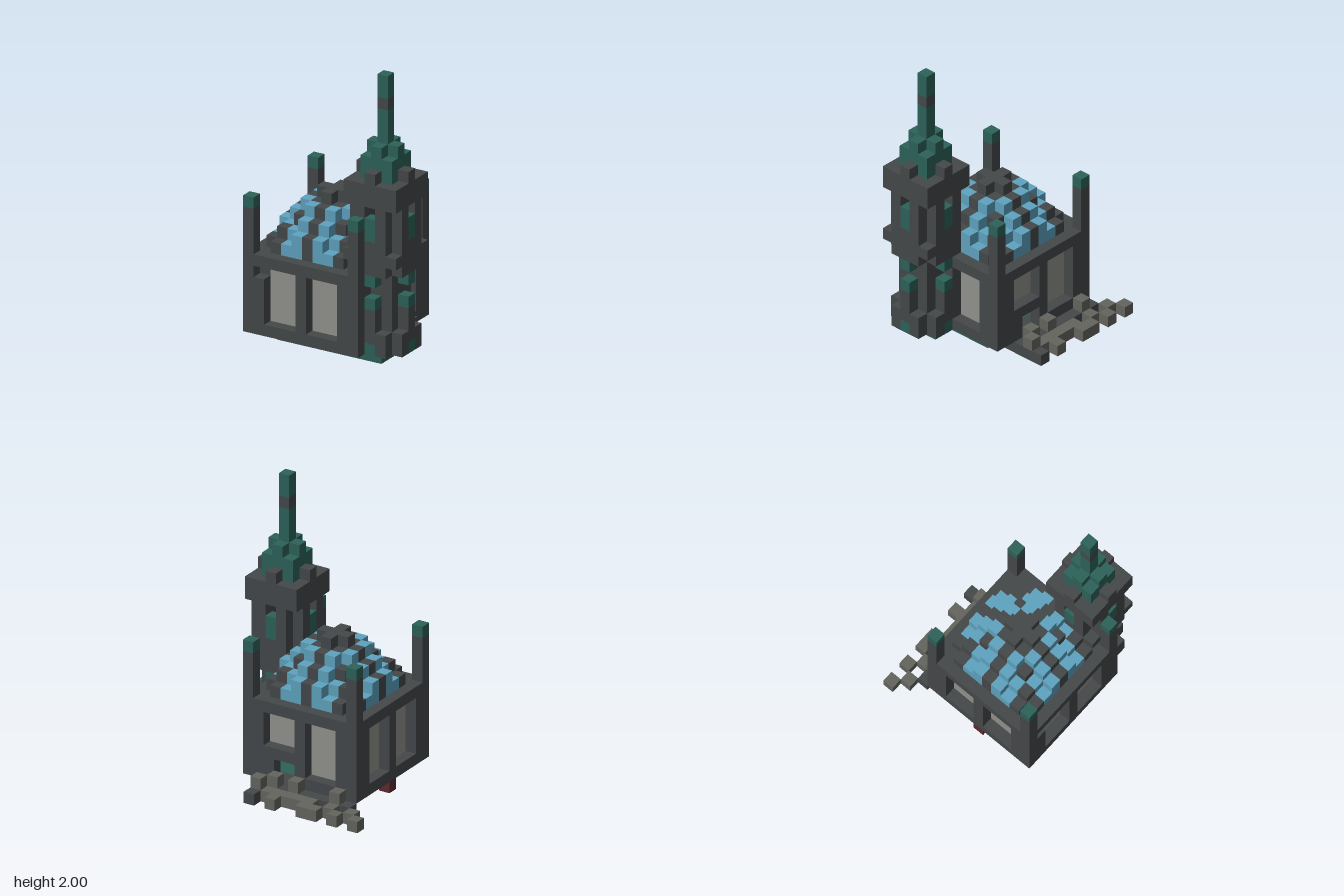
import * as THREE from 'three';

const C = 0.08; // size of one block
const paint = (name, color) => {
  const m = new THREE.MeshStandardMaterial({ color });
  m.name = name;
  return m;
};

export function createModel() {
  const stone = paint('dark stone', 0x45484a);
  const copper = paint('green copper', 0x2d625a);
  const rubble = paint('grey rubble', 0x65655f);
  const pane = paint('pale pane', 0x92938d);
  const glass = paint('blue glass', 0x5ea3bf);
  const brick = paint('red brick', 0x5e2b2d);

  const model = new THREE.Group();
  model.name = 'domedHallWithTower';

  // A block-aligned box: inclusive cell ranges, x and z counted from the group's centre cell
  const box = (parent, name, mat, [x0, x1 = x0], [y0, y1 = y0], [z0, z1 = z0]) => {
    const geo = new THREE.BoxGeometry((x1 - x0 + 1) * C, (y1 - y0 + 1) * C, (z1 - z0 + 1) * C);
    const mesh = new THREE.Mesh(geo, mat);
    mesh.position.set((x0 + x1) / 2 * C, (y0 + y1 + 1) / 2 * C, (z0 + z1) / 2 * C);
    mesh.name = name;
    parent.add(mesh);
  };
  const group = (parent, name, turn = 0) => {
    const g = new THREE.Group();
    g.name = name;
    g.rotation.y = turn * Math.PI / 2;
    parent.add(g);
    return g;
  };

  const hall = group(model, 'hall');
  hall.position.set(-0.04, 0, 0.12);

  // Four walls with two recessed windows each
  ['frontWall', 'leftWall', 'backWall', 'rightWall'].forEach((name, d) => {
    const w = group(hall, name, d);
    const front = d === 0, back = d === 2;
    if (back) {
      // Sill and window broken open beside the rubble
      box(w, 'sill', stone, [-4, -3], [1], [5]);
      box(w, 'sill', stone, [0, 4], [1], [5]);
      box(w, 'brokenWall', stone, [-3], [2, 3], [5]);
      box(w, 'brokenWall', stone, [-2, -1], [3], [5]);
    } else {
      box(w, 'sill', stone, [-4, 4], [1], [5]);
    }
    box(w, 'lintel', stone, [-4, 4], [7], [5]);
    box(w, 'middlePier', stone, [0], [2, 6], [4, 5]);
    box(w, 'edgePier', stone, [-4], [2, front ? 5 : 6], [5]);
    box(w, 'edgePier', stone, [4], [2, 6], [5]);
    box(w, 'innerCorner', stone, [4], [2, 6], [4]);
    box(w, 'windowPane', pane, [-3, -1], [back ? 4 : 2, 6], [4]);
    box(w, 'windowPane', pane, [1, 3], [2, 6], [4]);
    // Corner post with copper cap
    box(w, 'cornerPost', stone, [5], [1, 11], [5]);
    box(w, 'postCap', copper, [5], [12], [5]);
  });
  box(hall, 'roof', stone, [-4, 4], [7], [-4, 4]);

  // Stepped dome: height in blocks by distance from the centre
  const dome = group(hall, 'dome');
  const heights = [
    [5, 5, 4, 3, 2],
    [5, 4, 4, 3, 2],
    [4, 4, 3, 2, 1],
    [3, 3, 2, 2, 1],
    [2, 2, 1, 1, 0],
  ];
  for (let x = -4; x <= 4; x++) {
    for (let z = -4; z <= 4; z++) {
      const u = Math.abs(x), v = Math.abs(z), h = heights[u][v];
      if (!h || (x === 4 && z > 0)) continue; // the tower stands here
      const rib = u === 0 || v === 0 || u === v || u + v === 7;
      box(dome, rib ? 'domeRib' : 'domeGlass', rib ? stone : glass, [x], [8, 7 + h], [z]);
    }
  }

  // Foundation
  box(hall, 'foundation', copper, [-3, 4], [0], [-3, 3]);
  box(hall, 'towerFoundation', copper, [5, 6], [0], [1, 3]);
  box(hall, 'backFoundation', stone, [-3, 3], [0], [-5, -4]);
  box(hall, 'looseBrick', brick, [-5], [0], [0]);

  // Rubble path behind the hall
  const path = group(hall, 'rubblePath');
  box(path, 'step', stone, [-5, 3], [0], [-6]);
  box(path, 'slab', rubble, [-2, 2], [0], [-7]);
  box(path, 'slabEnd', stone, [3], [0], [-8, -7]);
  [[-7, -8], [-5, -8], [-3, -8], [-2, -8], [1, -8], [-6, -7], [-4, -7]]
    .forEach(([x, z]) => box(path, 'stone', rubble, [x], [0], [z]));
  [[-4, -6], [0, -6], [2, -6], [3, -7]]
    .forEach(([x, z]) => box(path, 'raisedStone', rubble, [x], [1], [z]));

  // Tower
  const tower = group(model, 'tower');
  tower.position.set(0.44, 0, 0.28);
  box(tower, 'shaft', stone, [-1, 1], [1, 8], [-1, 1]);
  box(tower, 'ledge', stone, [-2, 2], [9], [-2, 2]);
  box(tower, 'parapet', stone, [-2, 2], [14, 15], [-2, 2]);
  for (let d = 0; d < 4; d++) {
    const s = group(tower, 'towerSide', d);
    if (d !== 3) {
      // Base and pilaster with copper bands around a gap
      box(s, 'baseFoot', copper, [0], [1], [2]);
      box(s, 'pilaster', stone, [0], [2, 4], [2]);
      box(s, 'lowerBand', copper, [0], [5], [2]);
      box(s, 'upperBand', copper, [0], [7], [2]);
      for (const x of [-1, 1]) box(s, 'base', stone, [x], [1, 2], [2]);
    }
    box(s, 'collar', stone, [-1, 1], [8], [2]);
    // Belfry with an open slot above a copper shutter
    for (const x of [-1, 1]) box(s, 'belfryWall', stone, [x], [10, 13], [2]);
    box(s, 'belfryCorner', stone, [1], [10, 13], [1]);
    box(s, 'belfrySill', stone, [0], [10], [2]);
    box(s, 'shutter', copper, [0], [11, 12], [2]);
    // Merlon and stepped spire foot
    box(s, 'merlon', stone, [0], [16], [2]);
    box(s, 'spireArm', copper, [0], [16, 18], [1]);
    box(s, 'spireCorner', copper, [1], [16, 17], [1]);
  }
  box(tower, 'spire', copper, [0], [16, 21], [0]);
  box(tower, 'spireBand', stone, [0], [22], [0]);
  box(tower, 'spireTip', copper, [0], [23, 24], [0]);

  return model;
}
